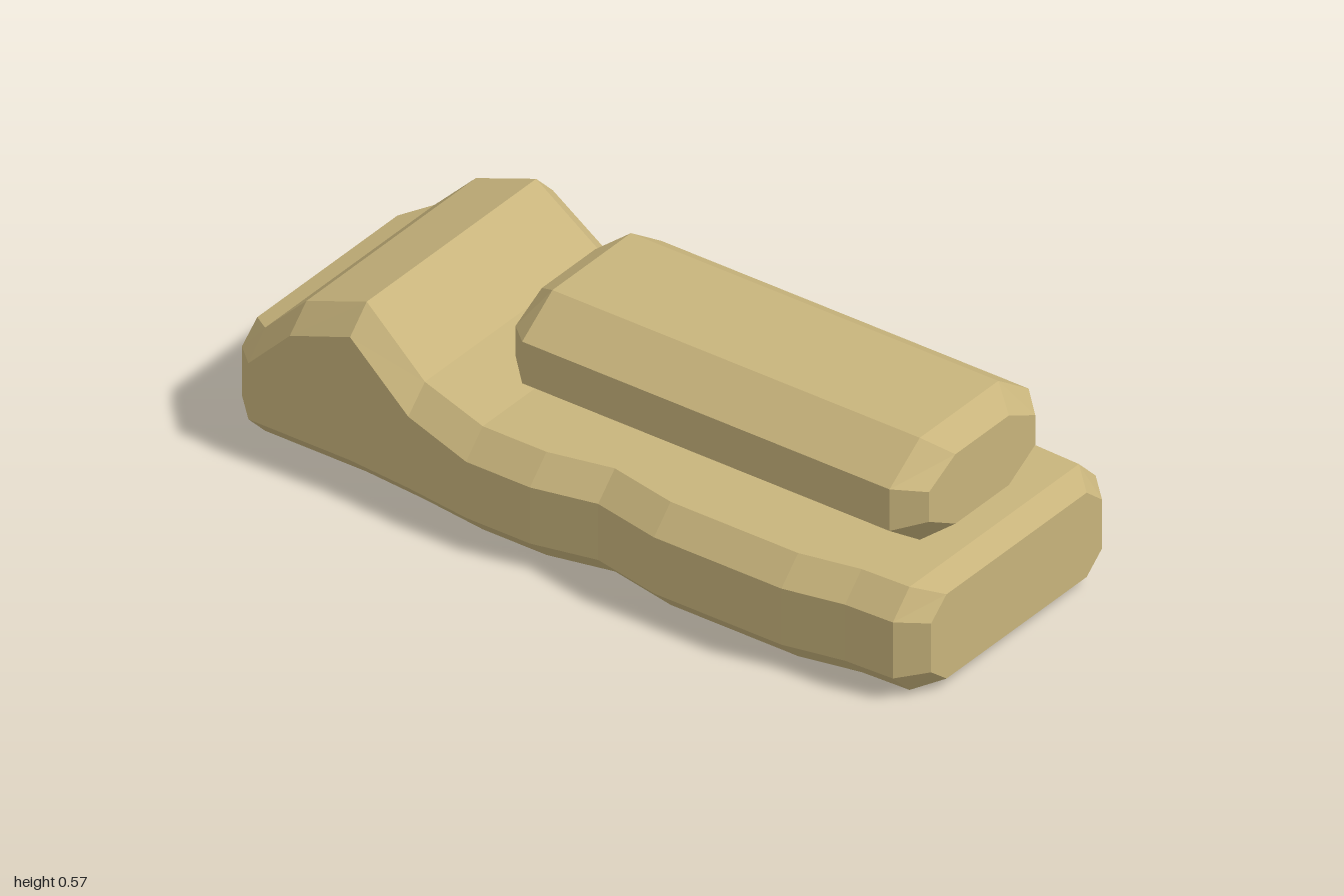
import * as THREE from 'three';

// Chamfered (octagonal) cross-section, counter-clockwise seen from +z
function octagon({ z, w, flat, y0, low, high, y1 }) {
  return [
    [-flat, y0, z], [flat, y0, z], [w, low, z], [w, high, z],
    [flat, y1, z], [-flat, y1, z], [-w, high, z], [-w, low, z],
  ];
}

// Skins a list of sections running from front (+z) to back (-z), with end caps
function loft(name, sections, material) {
  const rings = sections.map(octagon);
  const n = 8, pos = [];
  const tri = (...corners) => corners.forEach((c) => pos.push(...c));
  for (let s = 0; s < rings.length - 1; s++) {
    const a = rings[s], b = rings[s + 1];
    for (let i = 0; i < n; i++) {
      const j = (i + 1) % n;
      tri(a[i], b[i], b[j]);
      tri(a[i], b[j], a[j]);
    }
  }
  const front = rings[0], back = rings[rings.length - 1];
  for (let k = 1; k < n - 1; k++) {
    tri(front[0], front[k], front[k + 1]);
    tri(back[0], back[k + 1], back[k]);
  }
  const geometry = new THREE.BufferGeometry();
  geometry.setAttribute('position', new THREE.Float32BufferAttribute(pos, 3));
  geometry.computeVertexNormals();
  const mesh = new THREE.Mesh(geometry, material);
  mesh.name = name;
  return mesh;
}

export function createModel() {
  const group = new THREE.Group();
  group.name = 'model';
  const tan = new THREE.MeshStandardMaterial({ color: 0xc8b47c, flatShading: true });

  // Base: wavy sides and a raised hump at the back; [z, half width, top, shoulder]
  const c = 0.065;
  const stations = [
    [0.935, 0.395, 0.285, 0.22], [0.8, 0.4, 0.285, 0.22], [0.64, 0.433, 0.285, 0.22],
    [0.27, 0.433, 0.285, 0.22], [0.08, 0.395, 0.285, 0.22], [-0.09, 0.433, 0.285, 0.22],
    [-0.275, 0.433, 0.285, 0.22], [-0.46, 0.41, 0.325, 0.262], [-0.64, 0.395, 0.47, 0.405],
    [-0.815, 0.395, 0.405, 0.342], [-0.935, 0.395, 0.285, 0.22],
  ];
  const end = (z) => ({ z, w: 0.333, flat: 0.273, y0: 0.027, low: 0.075, high: 0.21, y1: 0.26 });
  const body = stations.map(([z, w, y1, high]) => ({ z, w, flat: w - c, y0: 0, low: c, high, y1 }));
  group.add(loft('base', [end(1), ...body, end(-1)], tan));

  // Long chamfered block resting on the base
  const cap = (z) => ({ z, w: 0.207, flat: 0.104, y0: 0.33, low: 0.388, high: 0.47, y1: 0.522 });
  const middle = (z) => ({ z, w: 0.271, flat: 0.153, y0: 0.285, low: 0.37, high: 0.485, y1: 0.567 });
  group.add(loft('topBlock', [cap(0.9), middle(0.833), middle(-0.233), cap(-0.3)], tan));

  return group;
}
